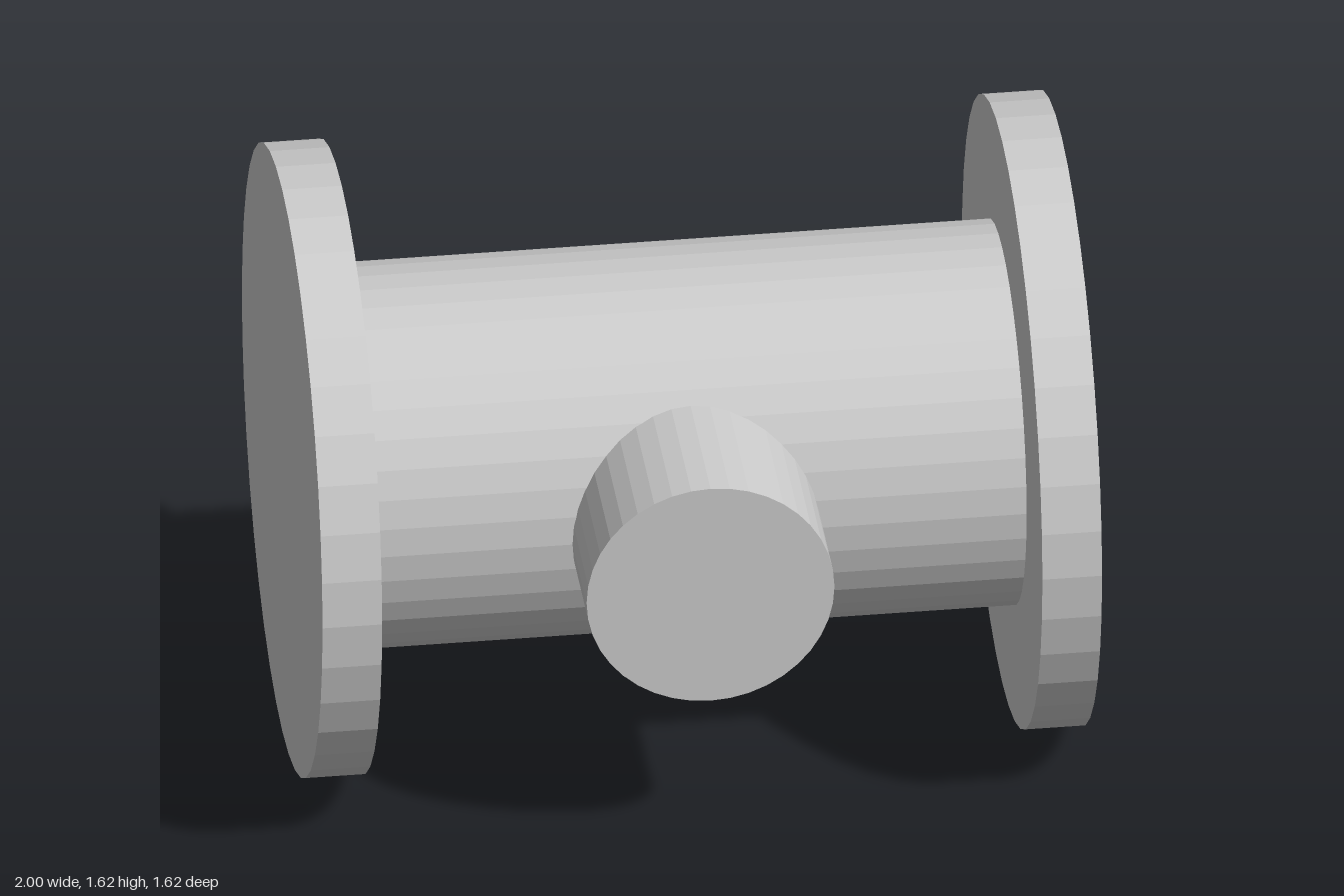
import * as THREE from 'three';

const AXIS_Y = 0.8125; // height of the pipe axis
const SIDES = 40;

export function createModel() {
  const group = new THREE.Group();
  const material = new THREE.MeshStandardMaterial({ color: 0xcccccc, flatShading: true });

  // Faceted cylinder lying along x or z, spanning from..to on that axis
  function addCylinder(name, radius, from, to, axis) {
    const geometry = new THREE.CylinderGeometry(radius, radius, to - from, SIDES);
    if (axis === 'x') geometry.rotateZ(-Math.PI / 2);
    else geometry.rotateX(Math.PI / 2);
    const mesh = new THREE.Mesh(geometry, material);
    mesh.name = name;
    mesh.position.y = AXIS_Y;
    mesh.position[axis] = (from + to) / 2;
    group.add(mesh);
  }

  // Main barrel between the flanges
  addCylinder('barrel', 0.494, -0.847, 0.847, 'x');

  // End flanges
  addCylinder('leftFlange', 0.8125, 0.847, 1, 'x');
  addCylinder('rightFlange', 0.8125, -1, -0.847, 'x');

  // Side branch at the front, rooted inside the barrel
  addCylinder('branch', 0.318, 0, 0.777, 'z');

  return group;
}
